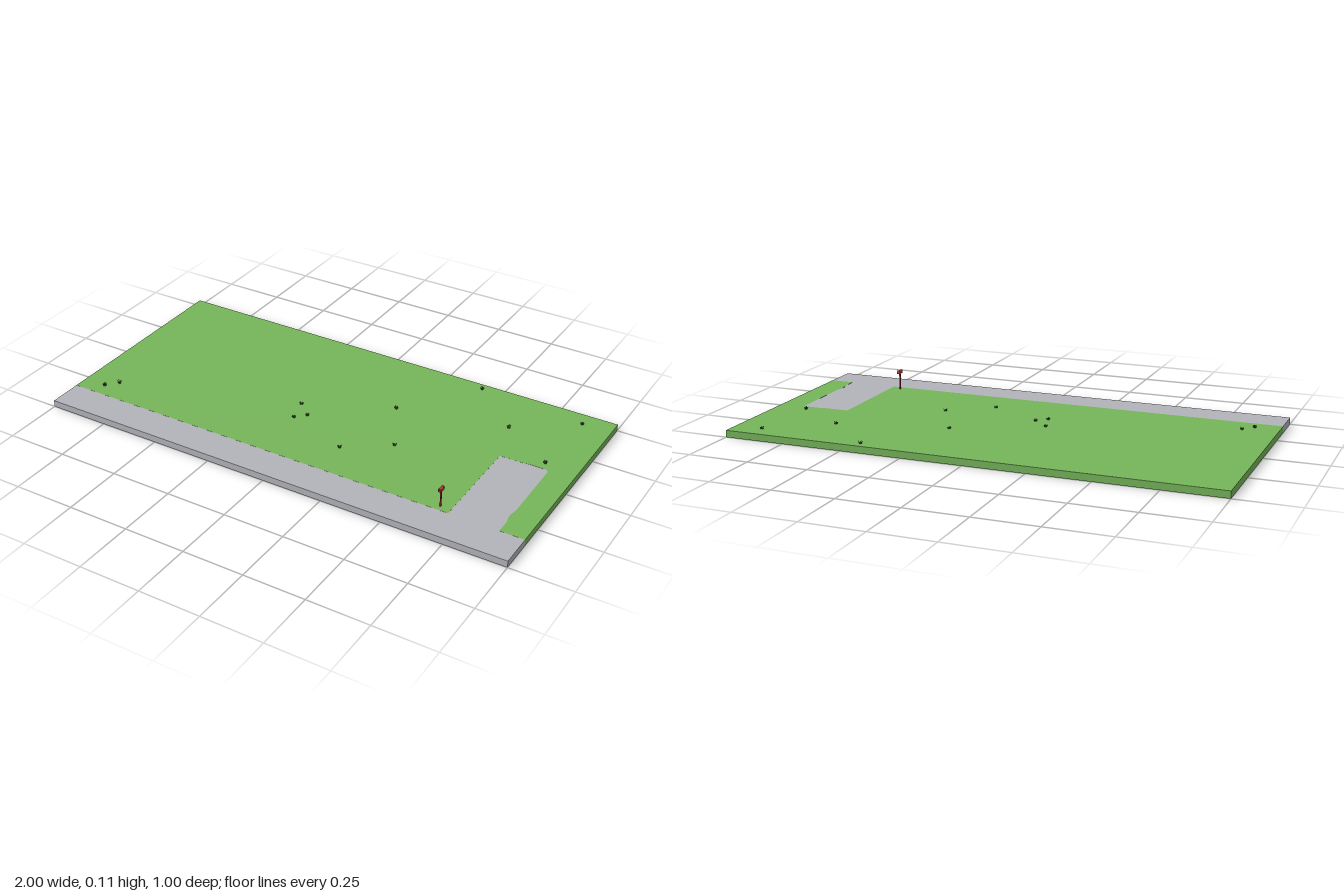
import * as THREE from 'three';

const mat = (name, color, side = THREE.FrontSide) => {
  const m = new THREE.MeshStandardMaterial({ color, side });
  m.name = name;
  return m;
};

export function createModel() {
  const model = new THREE.Group();
  model.name = 'gardenPlot';

  const lawnGreen = mat('lawn green', 0x76b55a);
  const pavingGrey = mat('paving grey', 0xb3b4ba);
  const tuftGreen = mat('tuft green', 0x2f5a2c, THREE.DoubleSide);
  const boxRed = mat('mailbox red', 0xc0392f);
  const postRed = mat('post red', 0x8f2a2a);
  const flagGreen = mat('flag green', 0x4a6b35);

  const add = (parent, name, geometry, material, x = 0, y = 0, z = 0) => {
    const mesh = new THREE.Mesh(geometry, material);
    mesh.name = name;
    mesh.position.set(x, y, z);
    parent.add(mesh);
    return mesh;
  };

  // Slab cut from an outline of [x, z] points, rising from y = 0
  const slab = (outline, height) => {
    const shape = new THREE.Shape(outline.map(([x, z]) => new THREE.Vector2(x, -z)));
    const g = new THREE.ExtrudeGeometry(shape, { depth: height, bevelEnabled: false });
    return g.rotateX(-Math.PI / 2);
  };

  // Driveway edge shared by lawn and paving, from the kerb round and back
  const kerb = 0.361;
  const driveway = [
    [0.7, kerb], [0.7, -0.065], [0.8, -0.067], [0.82, -0.071], [0.89, -0.07],
    [0.898, -0.06], [0.9, 0.22], [0.894, 0.25], [0.894, 0.27], [0.901, 0.3], [0.901, kerb],
  ];
  add(model, 'lawn', slab([[-1, -0.5], [-1, kerb], ...driveway, [1, kerb], [1, -0.5]], 0.028), lawnGreen);
  add(model, 'pavementAndDriveway',
    slab([[-1, 0.5], [-1, kerb], ...driveway, [1, kerb], [1, 0.5]], 0.0277), pavingGrey);

  // Grass tufts: a ring of splayed, tapering blades
  const tuftSpots = [
    [0.43, -0.465], [0.88, -0.43], [0.645, -0.26], [0.203, -0.155], [0.866, -0.108], [-0.137, 0.01],
    [-0.072, 0.07], [-0.11, 0.11], [0.325, 0.078], [0.153, 0.2], [-0.86, 0.257], [-0.9, 0.303],
  ];
  const blade = new THREE.ConeGeometry(0.0022, 0.014, 3).translate(0, 0.006, 0);
  tuftSpots.forEach(([x, z], i) => {
    const tuft = new THREE.Group();
    tuft.name = 'grassTuft';
    tuft.position.set(x, 0.027, z);
    for (let k = 0; k < 7; k++) {
      const a = (k / 7) * Math.PI * 2 + i;
      const b = add(tuft, 'blade', blade, tuftGreen, Math.cos(a) * 0.004, 0, Math.sin(a) * 0.004);
      b.rotation.set(Math.sin(a) * 0.3, 0, -Math.cos(a) * 0.3);
    }
    add(tuft, 'blade', blade, tuftGreen);
    model.add(tuft);
  });

  // Mailbox on a post, its door facing the pavement
  const mailbox = new THREE.Group();
  mailbox.name = 'mailbox';
  mailbox.position.set(0.657, 0, 0.337);
  add(mailbox, 'post', new THREE.BoxGeometry(0.005, 0.074, 0.005), postRed, 0, 0.062, 0);

  const profile = new THREE.Shape();
  profile.moveTo(-0.0065, 0);
  profile.lineTo(0.0065, 0);
  profile.lineTo(0.0065, 0.008);
  profile.absarc(0, 0.008, 0.0065, 0, Math.PI, false);
  profile.closePath();
  const body = new THREE.ExtrudeGeometry(profile, { depth: 0.028, bevelEnabled: false, curveSegments: 8 });
  add(mailbox, 'box', body, boxRed, 0, 0.097, -0.014);
  add(mailbox, 'door', new THREE.BoxGeometry(0.009, 0.009, 0.002), postRed, 0, 0.103, 0.0142);
  add(mailbox, 'flagArm', new THREE.BoxGeometry(0.0015, 0.01, 0.002), flagGreen, 0.0072, 0.108, -0.008);
  add(mailbox, 'flag', new THREE.BoxGeometry(0.0015, 0.004, 0.006), flagGreen, 0.0072, 0.111, -0.006);
  model.add(mailbox);

  return model;
}
